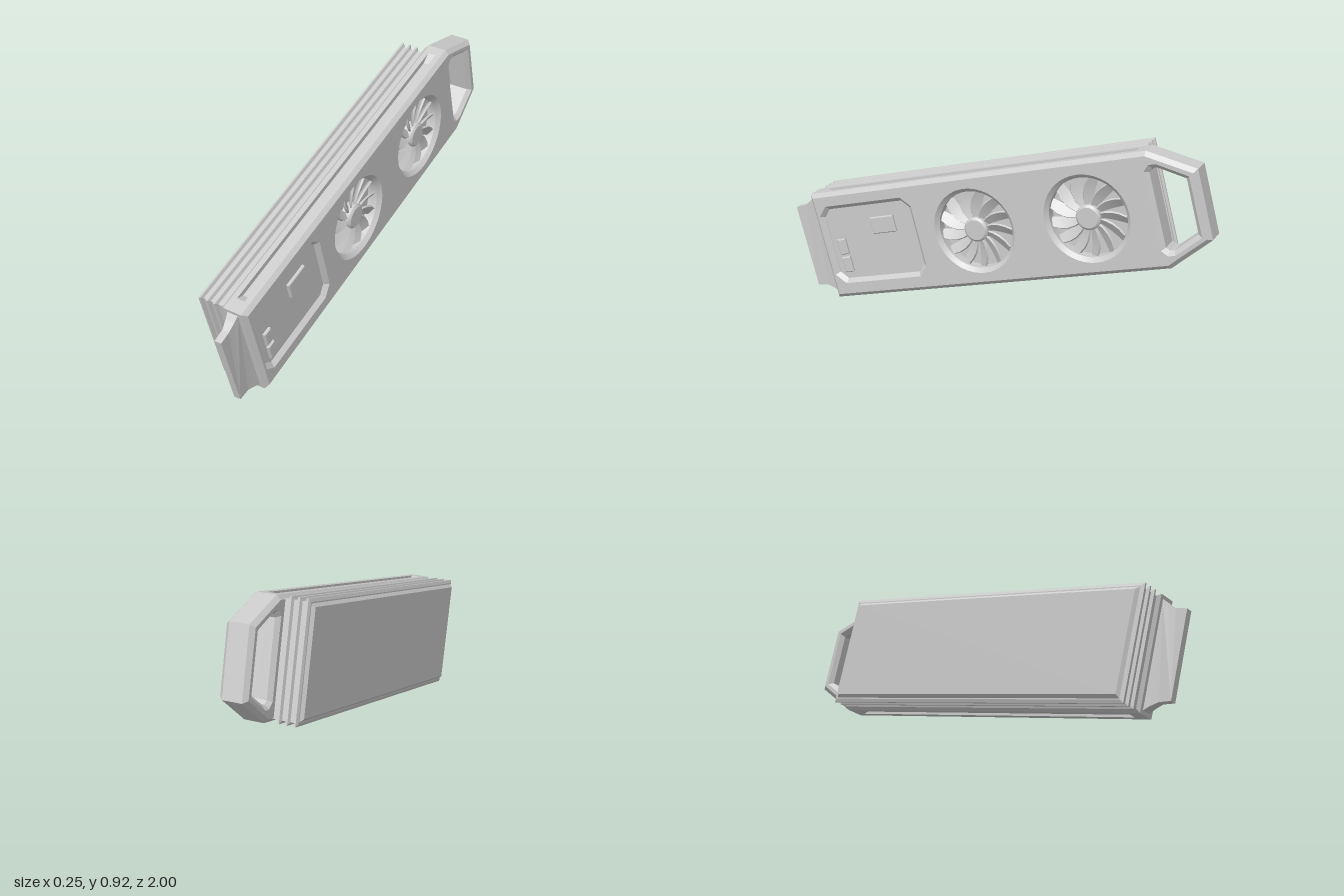
import * as THREE from 'three';
import { toCreasedNormals } from 'three/addons/utils/BufferGeometryUtils.js';

const mat = new THREE.MeshStandardMaterial({ color: 0xcccccc });
const LO = 0.201, HI = 0.707, MID = (LO + HI) / 2;
const FANS = [0.06, 0.598], FAN_R = 0.176;
const BEVEL = 0.018;

// Work frame: x along the length, y across the width, z through the thickness.
const path = pts => new THREE.Path(pts.map(p => new THREE.Vector2(...p)));
const rect = (x0, x1, y0, y1) => [[x0, y0], [x1, y0], [x1, y1], [x0, y1]];
const mirrorY = pts => pts.map(([x, y]) => [x, 2 * MID - y]).reverse();
const circle = x => new THREE.Path().absarc(x, MID, FAN_R, 0, Math.PI * 2, false);

function add(parent, name, geo, x = 0, y = 0, z = 0) {
  const mesh = new THREE.Mesh(geo, mat);
  mesh.name = name;
  mesh.position.set(x, y, z);
  parent.add(mesh);
  return mesh;
}

// Extruded plate; the bevel stays inside the outline. oneSided keeps z = 0 flat.
function plate(pts, depth, { holes = [], size = 0, thick = size, oneSided = false } = {}) {
  const shape = new THREE.Shape(pts.map(p => new THREE.Vector2(...p)));
  shape.holes = holes;
  const bevelled = size > 0;
  const core = bevelled ? depth - thick * (oneSided ? 1 : 2) : depth;
  const geo = new THREE.ExtrudeGeometry(shape, {
    depth: core, curveSegments: 22, bevelEnabled: bevelled, bevelSegments: 1,
    bevelSize: size, bevelThickness: thick, bevelOffset: -size,
  });
  if (bevelled && oneSided) {
    const p = geo.attributes.position;
    for (let i = 0; i < p.count; i++) if (p.getZ(i) < 0) p.setZ(i, 0);
  } else if (bevelled) geo.translate(0, 0, thick);
  geo.computeVertexNormals();
  return toCreasedNormals(geo, 0.3);
}

function bladeGeometry() {
  const geo = new THREE.BoxGeometry(0.125, 1, 0.009, 4, 1, 1);
  const p = geo.attributes.position;
  // Widen towards the tip and sweep the blade sideways.
  for (let i = 0; i < p.count; i++) {
    const t = p.getX(i) / 0.125 + 0.5;
    p.setY(i, p.getY(i) * (0.024 + 0.03 * Math.sin(t * 2.3)) );
  }
  geo.rotateX(0.6);
  for (let i = 0; i < p.count; i++) {
    const t = p.getX(i) / 0.125 + 0.5;
    p.setY(i, p.getY(i) - 0.035 * t * t);
  }
  geo.translate(0.108, 0, 0);
  return toCreasedNormals(geo, 0.4);
}

function createFan(blade) {
  const fan = new THREE.Group();
  fan.name = 'fan';
  const floor = new THREE.CylinderGeometry(FAN_R + 0.004, FAN_R + 0.004, 0.01, 44).rotateX(Math.PI / 2);
  add(fan, 'fanFloor', floor, 0, 0, 0.055);
  const profile = [[0, 0.06], [0.056, 0.06], [0.056, 0.102], [0.046, 0.11], [0, 0.11]];
  const hub = new THREE.LatheGeometry(profile.map(p => new THREE.Vector2(...p)), 28).rotateX(Math.PI / 2);
  add(fan, 'fanHub', toCreasedNormals(hub, 0.4));
  for (let i = 0; i < 13; i++) {
    add(fan, 'fanBlade', blade, 0, 0, 0.084).rotation.z = (i / 13) * Math.PI * 2;
  }
  return fan;
}

export function createModel() {
  const model = new THREE.Group();
  model.name = 'graphicsCard';
  const card = new THREE.Group();
  card.name = 'tiltedCard';
  card.rotation.set(THREE.MathUtils.degToRad(15), Math.PI / 2, 0);
  model.add(card);

  // Shroud outline with a chamfered handle end
  const handleEnd = [[0.914, LO], [1.115, 0.304], [1.115, 0.606], [0.914, HI]];
  const outline = [[-0.743, LO], ...handleEnd, [-0.743, HI]];
  const handleHole = () => path([[0.91, 0.292], [0.925, 0.277], [0.945, 0.277], [1.06, 0.335],
    [1.06, 0.573], [0.945, 0.633], [0.925, 0.633], [0.91, 0.618]]);

  // Recess of the control panel
  const c = 0.035, [a0, a1, b0, b1] = [-0.697, -0.24, 0.288, 0.626];
  const panelHole = path([[a0 + c, b0], [a1 - c, b0], [a1, b0 + c], [a1, b1 - c],
    [a1 - c, b1], [a0 + c, b1], [a0, b1 - c], [a0, b0 + c]]);

  // Three shroud layers; the middle one leaves a groove in both long edges
  const groove = [[-0.68, LO], [-0.645, LO + 0.022], [0.82, LO + 0.022], [0.865, LO]];
  const middle = [[-0.743, LO], ...groove, ...handleEnd, ...mirrorY(groove), [-0.743, HI]];
  add(card, 'shroudFace', plate(outline, 0.044, {
    holes: [handleHole(), panelHole, ...FANS.map(circle)], size: BEVEL, oneSided: true,
  }), 0, 0, 0.078);
  add(card, 'shroudCore', plate(middle, 0.036, { holes: [handleHole(), ...FANS.map(circle)] }), 0, 0, 0.042);
  add(card, 'shroudBack', plate(outline, 0.042, {
    holes: [handleHole()], size: BEVEL, oneSided: true,
  }), 0, 0, 0.042).scale.z = -1;

  // Control panel
  add(card, 'panelFloor', new THREE.BoxGeometry(0.475, 0.355, 0.024), (a0 + a1) / 2, (b0 + b1) / 2, 0.09);
  const key = (name, x, y, w, h) =>
    add(card, name, plate(rect(-w / 2, w / 2, -h / 2, h / 2), 0.015, { size: 0.004, oneSided: true }), x, y, 0.1);
  key('panelDisplay', -0.397, 0.527, 0.122, 0.078);
  key('panelButton', -0.641, 0.443, 0.045, 0.074);
  key('panelButton', -0.641, 0.356, 0.045, 0.074);

  // Fans
  const blade = bladeGeometry();
  for (const x of FANS) {
    const fan = createFan(blade);
    fan.position.set(x, MID, 0);
    card.add(fan);
  }

  // Heat sink body with three protruding fins
  add(card, 'heatSink', plate(rect(-0.73, 0.87, LO + 0.014, HI - 0.014), 0.137, {
    size: 0.018, oneSided: true,
  }), 0, 0, 0.014).scale.z = -1;
  for (const z of [-0.1, -0.064, -0.028]) {
    add(card, 'heatSinkFin', plate(rect(-0.743, 0.884, LO, HI), 0.02, { size: 0.014, thick: 0.006 }), 0, 0, z - 0.01);
  }

  // Connector tab, flared where it meets the shroud
  const flare = [[-0.86, 0.26], [-0.805, 0.255], [-0.768, 0.236], [-0.74, 0.215]];
  const tab = plate([...flare, ...mirrorY(flare)], 0.032);
  const p = tab.attributes.position;
  for (let i = 0; i < p.count; i++) {
    const wide = p.getX(i) > -0.75 ? 1.6 : p.getX(i) > -0.79 ? 1.3 : 1;
    p.setZ(i, (p.getZ(i) - 0.016) * wide);
  }
  tab.computeVertexNormals();
  add(card, 'connectorTab', tab, 0, 0, 0.06);

  return model;
}
